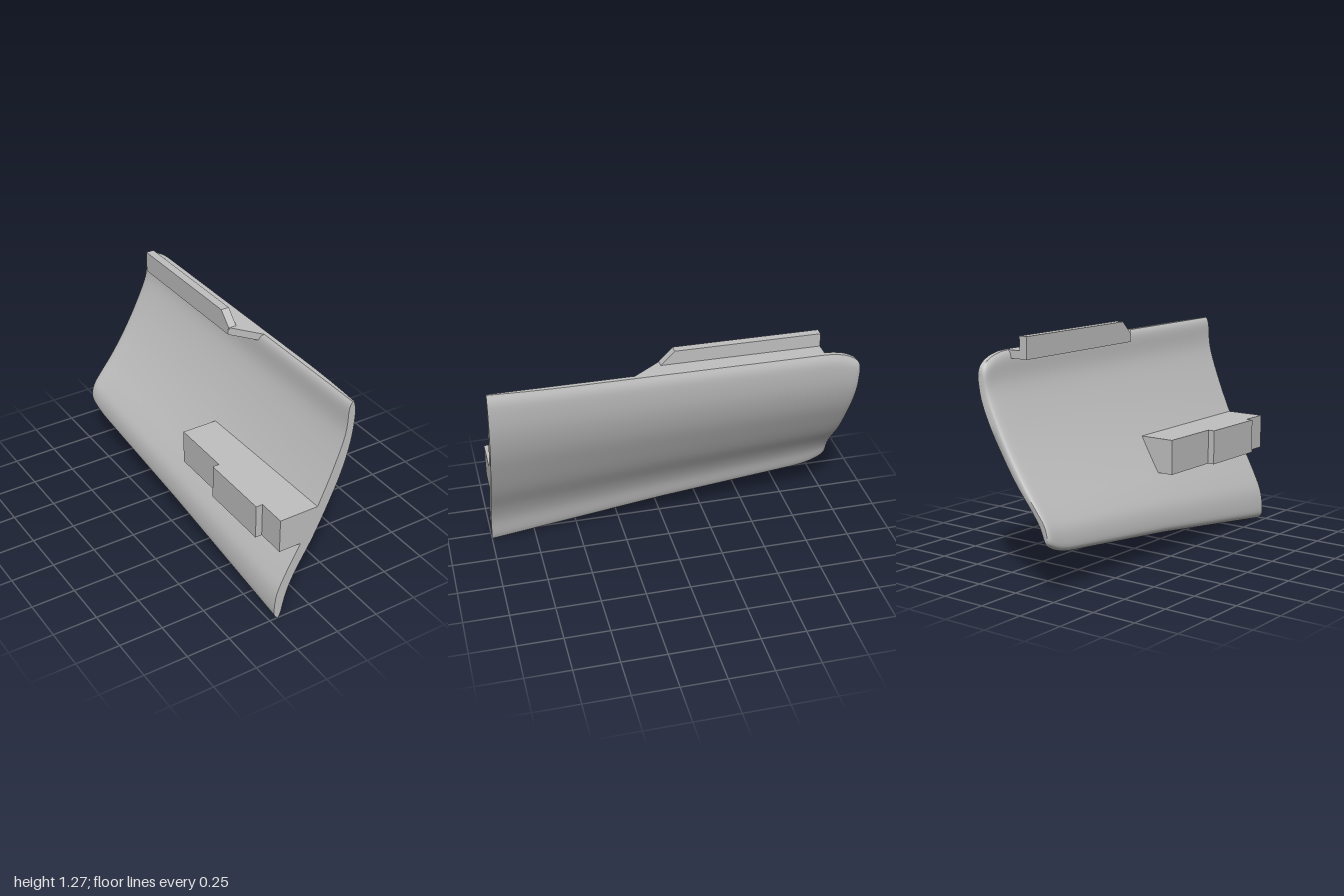
import * as THREE from 'three';
import { toCreasedNormals } from 'three/addons/utils/BufferGeometryUtils.js';

const HEIGHT = 1.2;
const clamp = (v) => Math.min(1, Math.max(0, v));
const curve = (pts) => new THREE.SplineCurve(pts.map(([x, y]) => new THREE.Vector2(x, y)));

// Closed prism: outline in x/y, pushed along z
function prism(points, depth) {
  const shape = new THREE.Shape(points.map(([x, y]) => new THREE.Vector2(x, y)));
  return new THREE.ExtrudeGeometry(shape, { depth, bevelEnabled: false });
}

// Curved panel lofted from front to back out of inner and outer profiles
function panelGeometry() {
  const inner = curve([[-0.203, 0], [-0.225, 0.04], [-0.212, 0.16], [-0.163, 0.275], [-0.076, 0.44],
    [0.02, 0.635], [0.106, 0.837], [0.168, 1.02], [0.182, 1.16], [0.2, HEIGHT]]);
  const outer = curve([[-0.197, 0], [-0.182, 0.04], [-0.153, 0.155], [-0.1, 0.275], [0, 0.45],
    [0.086, 0.63], [0.157, 0.8], [0.204, 0.97], [0.221, 1.13], [0.208, HEIGHT]]);
  const N = 45;
  const a = inner.getPoints(N), b = outer.getPoints(N);
  const sections = [1, 0.9, 0.8, 0.7, 0.6, 0.4, 0.2, 0, -0.2, -0.4, -0.6, -0.8,
    -0.85, -0.9, -0.93, -0.96, -0.975, -0.985, -0.995, -1];

  const pos = [], idx = [], ring = 2 * (N + 1);
  for (const z of sections) {
    // lower edge climbs toward the back
    const low = z > 0 ? 0.13 * (1 - z) : 0.13 - 0.105 * z;
    // rounded rear corners
    const t = clamp((-z - 0.8) / 0.2);
    const corner = 1 - Math.sqrt(1 - t * t);
    // outward bulge behind the front edge, thin rounded rear edge
    const s = clamp((1 - z) / 0.45);
    const bulge = 0.017 * s * (2 - s);
    const e = clamp((-z - 0.96) / 0.04);
    const thin = 1 - 0.55 * (1 - Math.sqrt(1 - e * e));
    const place = (p, other, extra) => {
      const v = clamp(p.y / HEIGHT);
      const y = p.y + low * (1 - v) ** 1.5 - 0.1 * corner * v ** 6 + 0.07 * corner * (1 - v) ** 6;
      const mid = (p.x + other.x) / 2;
      pos.push(mid + (p.x - mid) * thin + extra * v * v, y, z);
    };
    for (let i = 0; i <= N; i++) place(a[i], b[i], 0);
    for (let i = N; i >= 0; i--) place(b[i], a[i], bulge);
  }
  for (let s = 0; s < sections.length - 1; s++) {
    for (let i = 0; i < ring; i++) {
      const p = s * ring + i, q = s * ring + (i + 1) % ring;
      idx.push(p, q, p + ring, q, q + ring, p + ring);
    }
  }
  // front and rear end faces
  const last = (sections.length - 1) * ring;
  for (let i = 0; i < N; i++) {
    const o = ring - 1 - i;
    idx.push(i, o, i + 1, o, o - 1, i + 1);
    idx.push(last + i, last + i + 1, last + o, last + o, last + i + 1, last + o - 1);
  }
  const g = new THREE.BufferGeometry();
  g.setAttribute('position', new THREE.Float32BufferAttribute(pos, 3));
  g.setIndex(idx);
  return toCreasedNormals(g, 0.7);
}

export function createModel() {
  const model = new THREE.Group();
  model.name = 'curvedPanel';
  const grey = new THREE.MeshStandardMaterial({ color: 0xc0c0c0 });
  grey.name = 'light grey';
  const add = (name, geometry) => {
    const mesh = new THREE.Mesh(geometry, grey);
    mesh.name = name;
    model.add(mesh);
    return mesh;
  };

  add('panel', panelGeometry());

  // Bracket block on the inner face, with a raised pad
  add('bracketBlock', prism([[-0.205, 0.44], [-0.07, 0.44], [0.03, 0.635], [-0.205, 0.635]], 0.93))
    .position.z = 0.07;
  const pad = add('bracketPad', new THREE.BoxGeometry(0.048, 0.195, 0.41));
  pad.position.set(-0.219, 0.5375, 0.635);

  // Ledge along the top edge, tapering into the panel at the front
  const ledge = prism([[0.078, 0.8], [0.078, -0.07], [0.2, -0.23], [0.2, 0.8]], 0.043);
  add('topLedge', ledge.rotateX(-Math.PI / 2)).position.y = 1.157;

  // Upright rail on the ledge with a sloped front end
  const rail = prism([[-0.075, 1.19], [-0.075, 1.2], [0, 1.275], [0.8, 1.275], [0.8, 1.19]], 0.047);
  add('topRail', rail.rotateY(Math.PI / 2)).position.x = 0.078;

  return model;
}
